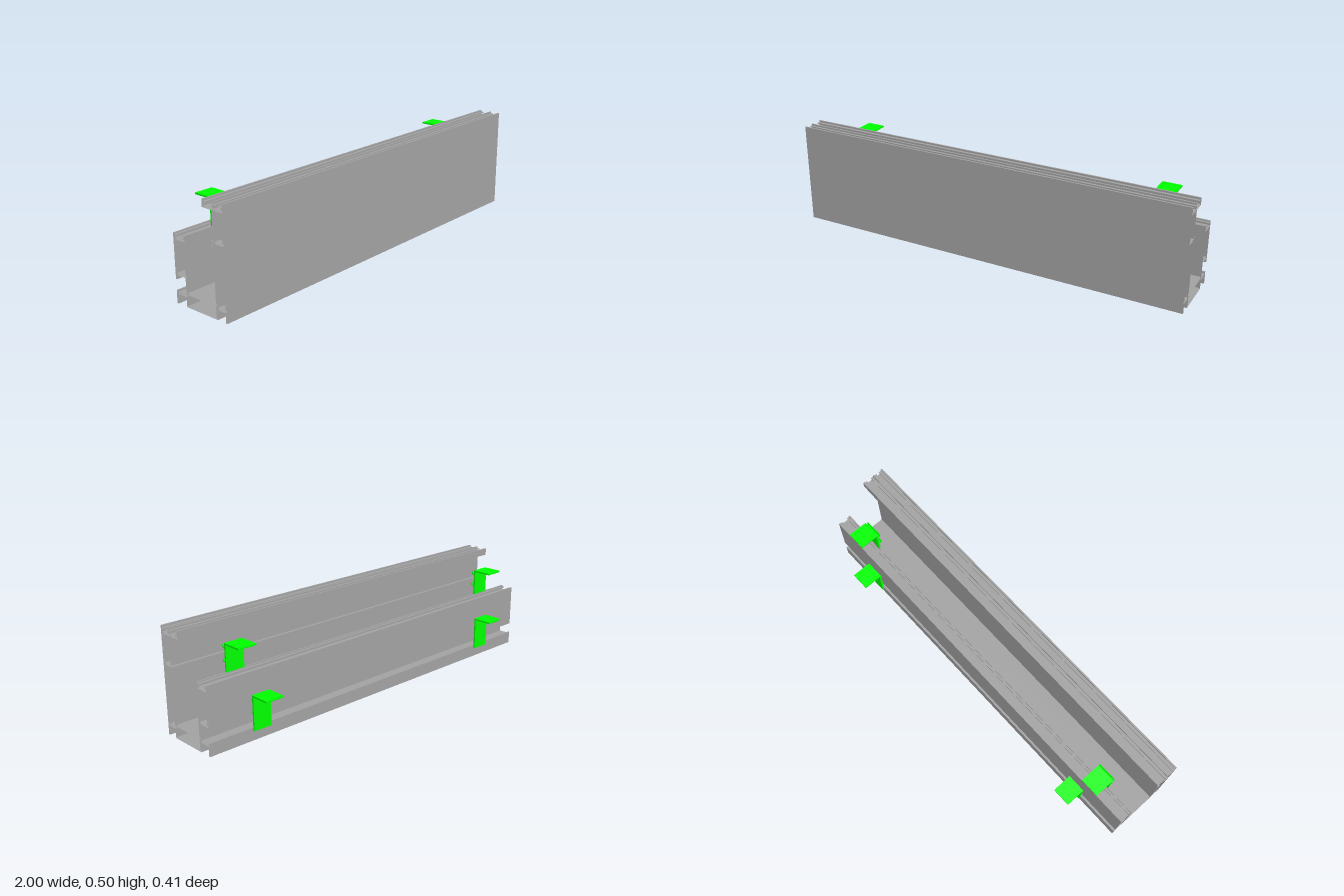
import * as THREE from 'three';

const LENGTH = 2;

const toPoints = (pts) => pts.map(([z, y]) => new THREE.Vector2(-z, y));
const rect = (z0, z1, y0, y1) => [[z0, y0], [z1, y0], [z1, y1], [z0, y1]];

// Sweeps a (z, y) section along x, centred on x = 0; open ends drop the caps.
function sweep(outline, holes, length, openEnds) {
  const shape = new THREE.Shape(toPoints(outline));
  shape.holes = holes.map((h) => new THREE.Path(toPoints(h)));
  let geo = new THREE.ExtrudeGeometry(shape, { depth: length, bevelEnabled: false });
  if (openEnds) {
    const side = geo.groups[1];
    const open = new THREE.BufferGeometry();
    for (const key of ['position', 'normal']) {
      const part = geo.getAttribute(key).array.slice(side.start * 3, (side.start + side.count) * 3);
      open.setAttribute(key, new THREE.BufferAttribute(part, 3));
    }
    geo = open;
  } else {
    geo.clearGroups();
  }
  return geo.translate(0, 0, -length / 2).rotateY(Math.PI / 2);
}

// Rail section: front panel, lipped front wall, box floor, slotted back wall.
function railGeometry() {
  const outline = [
    // front panel with a return under its top edge
    [0.2, 0], [0.2, 0.5], [0.192, 0.5], [0.192, 0.492], [0.178, 0.492],
    [0.178, 0.487], [0.192, 0.487], [0.192, 0.473], [0.15, 0.473],
    // ridge with returns, and the rear lip
    [0.15, 0.487], [0.162, 0.487], [0.162, 0.492], [0.15, 0.492], [0.15, 0.5],
    [0.142, 0.5], [0.142, 0.492], [0.128, 0.492], [0.128, 0.487], [0.142, 0.487], [0.142, 0.473],
    [0.09, 0.473], [0.09, 0.487], [0.104, 0.487], [0.104, 0.492], [0.09, 0.492],
    [0.09, 0.5], [0.082, 0.5], [0.082, 0.465], [0.137, 0.465],
    // front wall with its middle ledge
    [0.137, 0.335], [0.122, 0.335], [0.122, 0.312], [0.13, 0.312], [0.13, 0.327], [0.137, 0.327],
    // trough
    [0.137, 0.065], [-0.035, 0.065],
    // back wall and upper back panel, with returns along the top groove
    [-0.035, 0.315], [-0.043, 0.315], [-0.043, 0.31], [-0.055, 0.31], [-0.055, 0.305], [-0.043, 0.305],
    [-0.043, 0.295], [-0.097, 0.295], [-0.097, 0.305], [-0.085, 0.305], [-0.085, 0.31], [-0.097, 0.31],
    [-0.097, 0.315], [-0.105, 0.315], [-0.105, 0.11], [-0.097, 0.11],
    [-0.097, 0.13], [-0.043, 0.13],
    // slot and lower back lip
    [-0.043, 0.053], [-0.097, 0.053], [-0.097, 0.06], [-0.105, 0.06],
    [-0.105, 0], [-0.097, 0], [-0.097, 0.045], [-0.043, 0.045],
    // underside
    [-0.043, 0], [0.145, 0], [0.145, 0.045], [0.192, 0.045], [0.192, 0],
  ];
  const holes = [
    rect(0.145, 0.192, 0.335, 0.465), // upper front chamber
    rect(0.145, 0.192, 0.053, 0.327), // lower front chamber
    rect(-0.035, 0.137, 0.008, 0.057), // floor chamber
    rect(-0.097, -0.043, 0.138, 0.287), // back chamber
  ];
  return sweep(outline, holes, LENGTH, true);
}

// Upturned hook on the front of a bracket, listed from its underside.
const hook = (y) => [
  [0, y], [0.009, y], [0.0125, y + 0.002], [0.0145, y + 0.006], [0.0145, y + 0.012],
  [0.012, y + 0.0145], [0.0095, y + 0.012], [0.0095, y + 0.007], [0.008, y + 0.005], [0, y + 0.005],
];

// Angle bracket: top shelf pointing back, upright plate, two hooks.
function bracketGeometry() {
  const outline = [
    [0, 0], [-0.097, 0], [-0.097, -0.008], [-0.008, -0.008], [-0.008, -0.164], [0, -0.164],
    ...hook(-0.085), ...hook(-0.023),
  ];
  return sweep(outline, [], 0.092, false);
}

export function createModel() {
  const model = new THREE.Group();
  const grey = new THREE.MeshStandardMaterial({ color: 0xa2a2a2, side: THREE.DoubleSide });
  const green = new THREE.MeshStandardMaterial({ color: 0x00ff00 });

  const rail = new THREE.Mesh(railGeometry(), grey);
  rail.name = 'profileRail';
  model.add(rail);

  // two pairs of brackets, mirrored left and right
  const bracket = bracketGeometry();
  const rows = [
    { name: 'upper', x: 0.806, y: 0.443, z: -0.034 },
    { name: 'lower', x: 0.732, y: 0.211, z: -0.109 },
  ];
  for (const { name, x, y, z } of rows) {
    for (const side of [1, -1]) {
      const mesh = new THREE.Mesh(bracket, green);
      mesh.name = `${name}Bracket${side > 0 ? 'Left' : 'Right'}`;
      mesh.position.set(side * x, y, z);
      model.add(mesh);
    }
  }
  return model;
}
